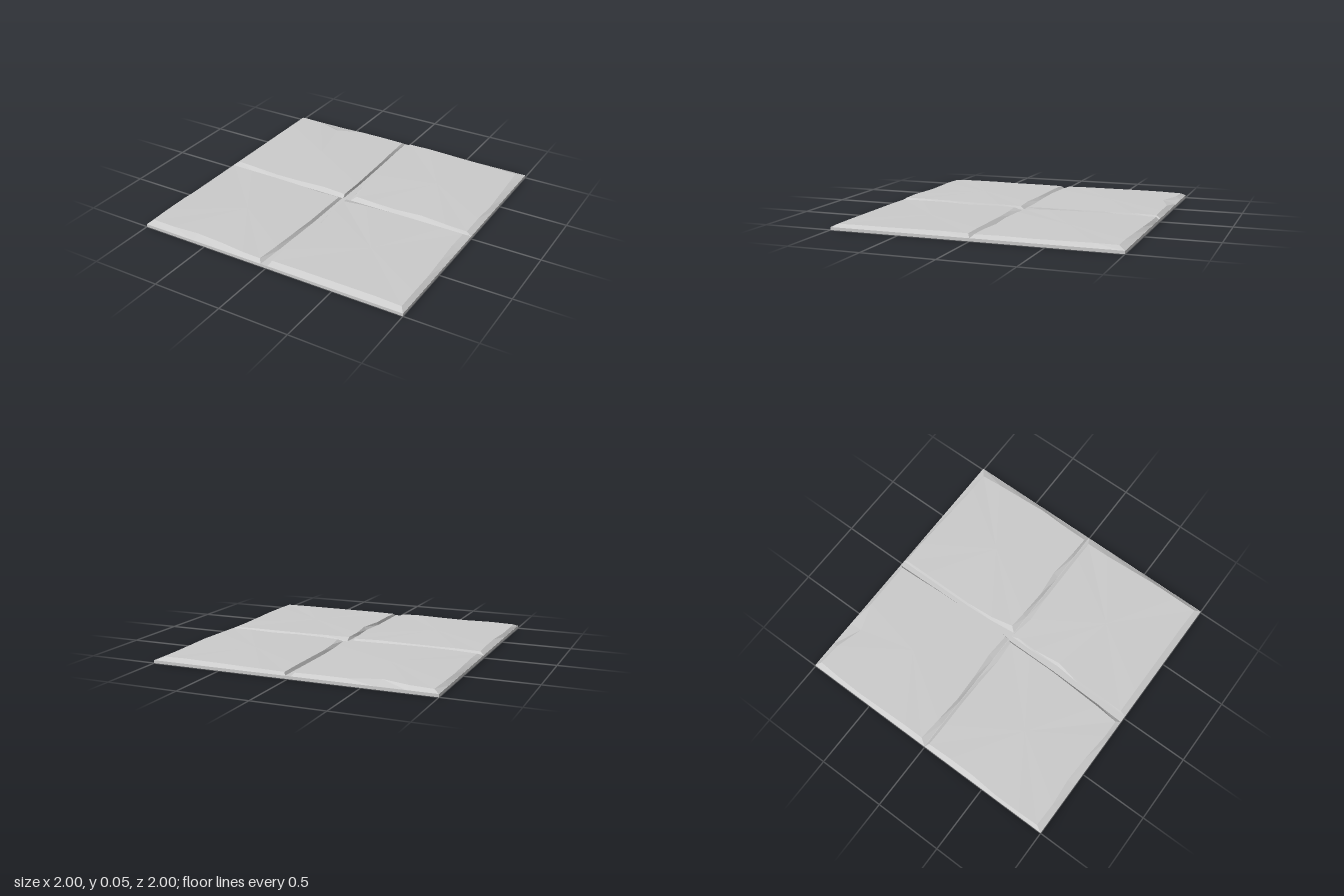
import * as THREE from 'three';

const RIM = 0.02; // height of the shared bed, where the tile edges start
const STEPS = 5; // divisions along each tile side

// Wear of each side: hundredths the top edge is set back, at even steps,
// running back to front, left to right, front to back, right to left
const TILES = [
  {
    name: 'backLeftTile', x: -1, z: -1, crown: 0.05,
    left: [4, 3, 2.5, 3, 3.5, 3.5], front: [5, 3.5, 2, 2.5, 4, 3],
    right: [1.5, 1, 1.5, 2, 3, 3.5], back: [3, 3, 3, 10, 4, 3],
  },
  {
    name: 'backRightTile', x: 0, z: -1, crown: 0.046,
    left: [3, 3, 3, 3, 4.5, 8], front: [4, 3, 2, 4, 2, 1.5],
    right: [4, 4, 3, 4, 5, 6], back: [5, 5, 4, 3, 2, 2],
  },
  {
    name: 'frontLeftTile', x: -1, z: 0, crown: 0.045,
    left: [3, 3.5, 3.5, 2, 2, 2.5], front: [5, 4.5, 6, 5, 3, 3],
    right: [6.5, 5, 4, 3, 3, 3], back: [3, 4, 3, 2.5, 2.5, 2],
  },
  {
    name: 'frontRightTile', x: 0, z: 0, crown: 0.043,
    left: [3, 2.5, 5, 2, 2, 2], front: [4.5, 4.5, 4.5, 4.5, 4.5, 4],
    right: [3, 3, 3, 4, 5, 5], back: [3, 3, 3, 3, 4, 6],
  },
];

// Directions along the left, front, right and back sides; each side's
// inward direction is the direction of the next side
const ALONG = [[0, 1], [1, 0], [0, -1], [-1, 0]].map(([x, z]) => new THREE.Vector3(x, 0, z));
const CORNERS = [[0, 0], [0, 1], [1, 1], [1, 0]].map(([x, z]) => new THREE.Vector3(x, 0, z));

function tileGeometry({ x, z, crown, left, front, right, back }) {
  const sides = [left, front, right, back];
  const tops = [];
  const feet = [];
  sides.forEach((wear, k) => {
    const corner = CORNERS[k].clone().add(new THREE.Vector3(x, 0, z));
    const cornerWear = sides[(k + 3) % 4][STEPS] / 100;
    for (let j = 0; j < STEPS; j++) {
      const foot = corner.clone().addScaledVector(ALONG[k], j / STEPS);
      const top = corner.clone()
        .addScaledVector(ALONG[k], j === 0 ? cornerWear : j / STEPS)
        .addScaledVector(ALONG[(k + 1) % 4], wear[j] / 100);
      top.y = j === 0 ? 0.039 : 0.042;
      foot.y = RIM - 0.001;
      // Steeper walls leave a flat joint floor along x = 0
      if (Math.abs(foot.x) < 0.01) foot.x = top.x * 0.6;
      tops.push(top);
      feet.push(foot);
    }
  });

  // Slightly crowned top and sloping edges
  const middle = new THREE.Vector3(x + 0.5, crown, z + 0.5);
  const points = tops.flatMap((top, i) => {
    const next = (i + 1) % tops.length;
    return [
      middle, top, tops[next],
      top, feet[i], feet[next],
      top, feet[next], tops[next],
    ];
  });
  const geometry = new THREE.BufferGeometry().setFromPoints(points);
  geometry.computeVertexNormals();
  return geometry;
}

export function createModel() {
  const group = new THREE.Group();
  group.name = 'stoneFloor';
  const material = new THREE.MeshStandardMaterial({ color: 0xcccccc, flatShading: true });

  // Flat bed showing as the joint floor and the outer rim
  const bed = new THREE.Mesh(new THREE.BoxGeometry(2, RIM, 2), material);
  bed.name = 'bed';
  bed.position.y = RIM / 2;
  group.add(bed);

  // Four worn tiles with chipped edges
  for (const spec of TILES) {
    const tile = new THREE.Mesh(tileGeometry(spec), material);
    tile.name = spec.name;
    group.add(tile);
  }
  return group;
}
